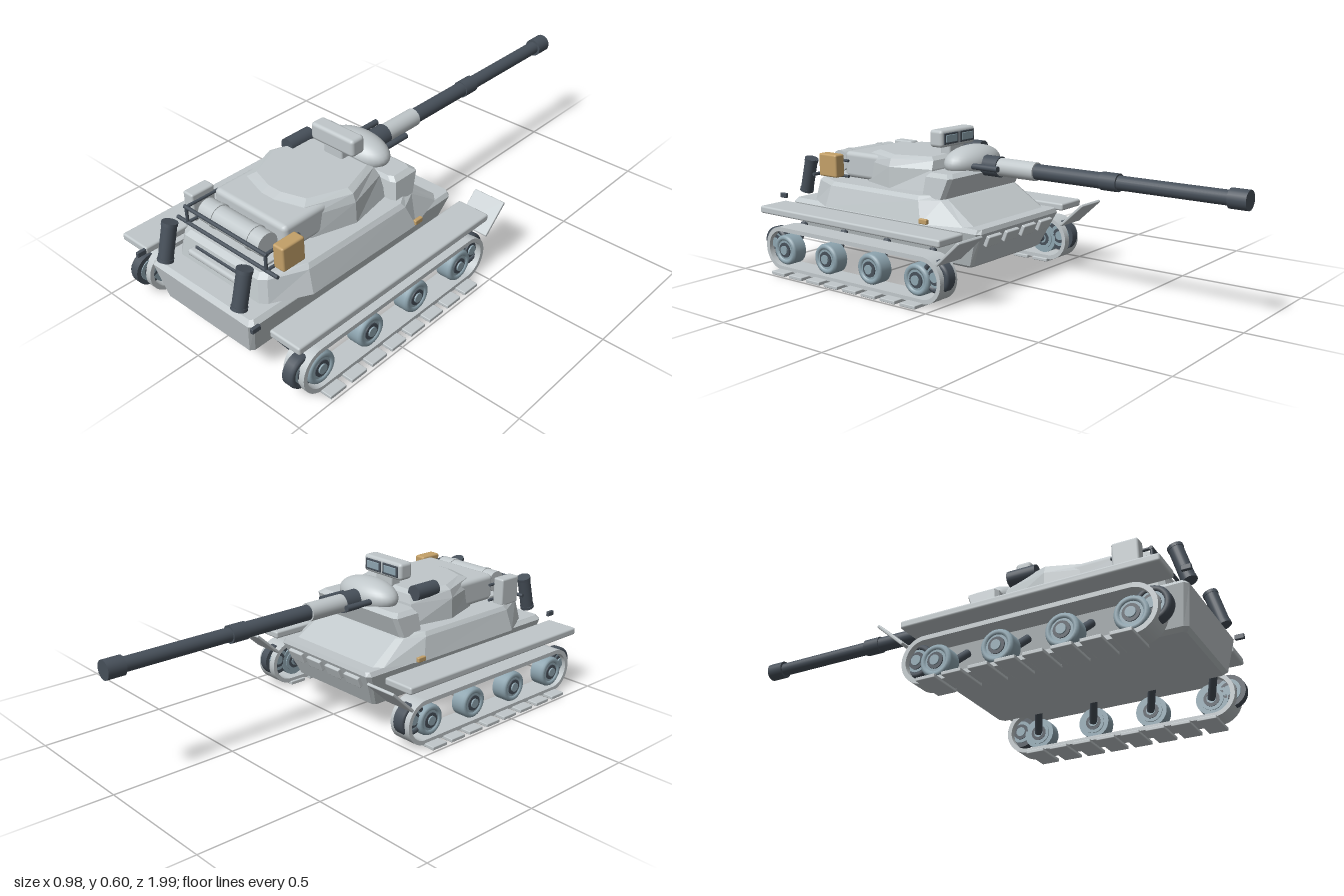
import * as THREE from 'three';
import { RoundedBoxGeometry } from 'three/addons/geometries/RoundedBoxGeometry.js';

const mat = (name, color) => Object.assign(new THREE.MeshStandardMaterial({ color }), { name });

// Stacked symmetric sections: [y, [[x, z], ...]] with the +x side listed from +z to -z.
function loft(sections) {
  const rings = sections.map(([y, half]) => [
    ...half.map(([x, z]) => [x, y, z]),
    ...half.slice().reverse().map(([x, z]) => [-x, y, z]),
  ]);
  const pos = [];
  const tri = (a, b, c) => pos.push(...a, ...b, ...c);
  const n = rings[0].length;
  for (let k = 0; k + 1 < rings.length; k++) {
    for (let i = 0; i < n; i++) {
      const j = (i + 1) % n;
      tri(rings[k][i], rings[k][j], rings[k + 1][j]);
      tri(rings[k][i], rings[k + 1][j], rings[k + 1][i]);
    }
  }
  const bottom = rings[0], top = rings[rings.length - 1];
  for (let i = 1; i + 1 < n; i++) {
    tri(top[0], top[i], top[i + 1]);
    tri(bottom[0], bottom[i + 1], bottom[i]);
  }
  const g = new THREE.BufferGeometry();
  g.setAttribute('position', new THREE.Float32BufferAttribute(pos, 3));
  g.computeVertexNormals();
  return g;
}

export function createModel() {
  const model = new THREE.Group();
  model.name = 'tank';
  const hull = mat('pale grey', 0xc0c7ca);
  const dark = mat('gunmetal', 0x47505a);
  const teal = mat('blue grey', 0x8ea5b0);
  const tan = mat('tan', 0xc3a068);

  const add = (name, geo, m, x = 0, y = 0, z = 0, parent = model) => {
    const mesh = new THREE.Mesh(geo, m);
    mesh.name = name;
    mesh.position.set(x, y, z);
    parent.add(mesh);
    return mesh;
  };
  const box = (name, m, w, h, d, x, y, z, r = 0.008, parent = model) =>
    add(name, new RoundedBoxGeometry(w, h, d, 2, Math.min(r, w / 2.1, h / 2.1, d / 2.1)), m, x, y, z, parent);
  // Cylinder between two points
  const rod = (name, m, a, b, r, parent = model, sides = 20) => {
    const p = new THREE.Vector3(...a), q = new THREE.Vector3(...b);
    const d = q.clone().sub(p);
    const mesh = add(name, new THREE.CylinderGeometry(r, r, d.length(), sides), m, 0, 0, 0, parent);
    mesh.position.copy(p.add(q).multiplyScalar(0.5));
    mesh.quaternion.setFromUnitVectors(new THREE.Vector3(0, 1, 0), d.normalize());
    return mesh;
  };

  // Hull
  add('lowerHull', loft([
    [0.1, [[0.19, 0.925], [0.205, 0.915], [0.205, 0.04], [0.19, 0.03]]],
    [0.112, [[0.21, 0.94], [0.222, 0.925], [0.222, 0.02], [0.21, 0.01]]],
    [0.25, [[0.245, 0.965], [0.26, 0.95], [0.26, -0.04], [0.245, -0.055]]],
    [0.267, [[0.235, 0.95], [0.245, 0.94], [0.25, -0.04], [0.235, -0.05]]],
  ]), hull);
  add('upperHull', loft([
    [0.265, [[0.2, 0.875], [0.225, 0.855], [0.298, 0.72], [0.3, 0.2], [0.25, 0.03], [0.22, 0.0]]],
    [0.35, [[0.185, 0.86], [0.21, 0.84], [0.272, 0.71], [0.275, 0.23], [0.235, 0.15], [0.21, 0.13]]],
    [0.366, [[0.175, 0.84], [0.2, 0.82], [0.26, 0.7], [0.262, 0.24], [0.22, 0.175], [0.2, 0.16]]],
  ]), hull);
  for (let i = 0; i < 4; i++) {
    box('noseLink', hull, 0.08, 0.045, 0.02, -0.165 + i * 0.11, 0.215, -0.045, 0.004).rotation.x = -0.4;
  }

  // Turret
  add('turret', loft([
    [0.364, [[0.04, 0.63], [0.17, 0.6], [0.225, 0.43], [0.19, 0.24]]],
    [0.45, [[0.04, 0.645], [0.16, 0.61], [0.222, 0.43], [0.17, 0.25]]],
    [0.482, [[0.03, 0.635], [0.145, 0.6], [0.21, 0.43], [0.15, 0.26]]],
    [0.495, [[0.03, 0.6], [0.125, 0.57], [0.185, 0.43], [0.135, 0.28]]],
  ]), hull);
  box('turretBustle', hull, 0.36, 0.11, 0.42, 0, 0.425, 0.515, 0.02);
  add('turretCheeks', loft([
    [0.355, [[0.22, 0.25], [0.24, 0.24], [0.24, 0.15], [0.22, 0.14]]],
    [0.435, [[0.21, 0.24], [0.23, 0.23], [0.23, 0.12], [0.21, 0.11]]],
    [0.45, [[0.19, 0.23], [0.21, 0.22], [0.21, 0.14], [0.19, 0.13]]],
  ]), hull);
  add('mantlet', new THREE.SphereGeometry(1, 32, 20), hull, 0, 0.47, 0.185).scale.set(0.147, 0.066, 0.08);

  // Gun
  const gun = (name, m, z0, z1, r) => rod(name, m, [0, 0.46, z0], [0, 0.46, z1], r, model, 24);
  gun('gunCollar', dark, 0.13, 0.04, 0.041);
  gun('gunSleeve', hull, 0.05, -0.13, 0.036);
  gun('barrel', dark, -0.12, -0.95, 0.027);
  gun('boreSleeve', dark, -0.425, -0.495, 0.034);
  gun('barrelThickening', dark, -0.13, -0.44, 0.03);
  gun('muzzle', dark, -0.93, -1, 0.036);
  for (const s of [-1, 1]) rod('gunGuide', dark, [s * 0.075, 0.465, 0.15], [s * 0.075, 0.465, 0], 0.012);

  // Roof sight and launcher
  box('sightNeck', hull, 0.09, 0.05, 0.05, 0, 0.51, 0.29);
  box('sightHousing', hull, 0.21, 0.07, 0.065, 0, 0.56, 0.288, 0.014);
  for (const s of [-1, 1]) {
    box('sightFrame', dark, 0.085, 0.045, 0.006, s * 0.048, 0.56, 0.254, 0.002);
    box('sightLens', teal, 0.068, 0.03, 0.006, s * 0.048, 0.56, 0.252, 0.002);
  }
  rod('roofCanister', dark, [-0.17, 0.492, 0.265], [-0.17, 0.492, 0.38], 0.031);

  // Rear stowage
  rod('stowageRoll', hull, [-0.152, 0.43, 0.778], [0.152, 0.43, 0.778], 0.044);
  for (const s of [-1, 1]) {
    rod('rollStrap', hull, [s * 0.09 - 0.008, 0.43, 0.778], [s * 0.09 + 0.008, 0.43, 0.778], 0.047);
    box('stowageBin', s > 0 ? tan : hull, 0.05, s > 0 ? 0.095 : 0.115, 0.1, s * 0.226, s > 0 ? 0.425 : 0.417, 0.752);
    for (const y of [0.445, 0.38]) rod('rackSide', dark, [s * 0.2, y, 0.68], [s * 0.2, y, 0.835], 0.006);
    rod('rackPost', dark, [s * 0.2, 0.375, 0.832], [s * 0.2, 0.45, 0.832], 0.006);
  }
  rod('rackUpperRail', dark, [-0.208, 0.445, 0.832], [0.208, 0.445, 0.832], 0.007);
  rod('rackLowerRail', dark, [-0.255, 0.38, 0.832], [0.255, 0.38, 0.832], 0.007);
  box('rackFloor', hull, 0.36, 0.012, 0.13, 0, 0.38, 0.77, 0.004);
  box('rearGrille', dark, 0.25, 0.012, 0.02, 0, 0.331, 0.858, 0.003);
  box('rearLog', hull, 0.29, 0.026, 0.035, 0, 0.313, 0.873, 0.012);

  // One running gear side, built for +x or -x
  const wheel = (parent, x, y, z, s, tyre, r, w) => {
    const disc = (name, m, rad, x0, x1) => rod(name, m, [s * (x + x0), y, z], [s * (x + x1), y, z], rad, parent, 28);
    disc('tyre', tyre, r, -w / 2, w / 2);
    const rim = add('tyreShoulder', new THREE.TorusGeometry(r - 0.012, 0.012, 8, 28), tyre, s * (x + w / 2), y, z, parent);
    rim.rotation.y = Math.PI / 2;
    disc('wheelDisc', teal, r * 0.72, -w / 2 - 0.004, w / 2 + 0.006);
    disc('wheelRing', dark, r * 0.5, -w / 2 - 0.006, w / 2 + 0.01);
    disc('wheelHub', teal, r * 0.3, -w / 2 - 0.008, w / 2 + 0.016);
  };

  const stadium = (P, r) => {
    const y = 0.1, a = -0.83, b = -0.065;
    const p = new P();
    p.moveTo(a, y - r);
    p.lineTo(b, y - r);
    p.absarc(b, y, r, -Math.PI / 2, Math.PI / 2, false);
    p.lineTo(a, y + r);
    p.absarc(a, y, r, Math.PI / 2, Math.PI * 1.5, false);
    return p;
  };
  const beltShape = stadium(THREE.Shape, 0.09);
  beltShape.holes.push(stadium(THREE.Path, 0.073));
  const beltGeo = new THREE.ExtrudeGeometry(beltShape, { depth: 0.095, bevelEnabled: false, curveSegments: 20 });
  beltGeo.translate(0, 0, -0.0475).rotateY(Math.PI / 2);

  for (const s of [-1, 1]) {
    const side = new THREE.Group();
    side.name = s > 0 ? 'leftRunningGear' : 'rightRunningGear';
    model.add(side);
    add('trackBelt', beltGeo, hull, s * 0.398, 0, 0, side);
    for (let i = 0; i < 8; i++) {
      box('trackPad', hull, 0.15, 0.014, 0.075, s * 0.415, 0.007, 0.1 + i * 0.101, 0.003, side);
    }
    for (let i = 0; i < 4; i++) {
      const z = 0.105 + i * 0.24;
      wheel(side, 0.4, 0.092, z, s, teal, 0.062, 0.05);
      rod('suspensionArm', dark, [s * 0.283, 0.17, z + 0.045], [s * 0.37, 0.09, z], 0.015, side);
    }
    for (const z of [0.89, 0.022]) wheel(side, 0.397, 0.114, z, s, dark, 0.064, 0.032);

    // Fender and raised flap at the gun end
    box('fender', hull, 0.137, 0.03, 0.97, s * 0.387, 0.252, 0.455, 0.008, side);
    box('fenderFlap', hull, 0.137, 0.012, 0.145, s * 0.392, 0.222, -0.07, 0.004, side).rotation.x = 0.74;

    // Side lamp, tail marker, rear smoke drum
    box('sideLamp', tan, 0.016, 0.02, 0.04, s * 0.297, 0.277, 0.185, 0.004);
    box('tailMarker', dark, 0.014, 0.02, 0.036, s * 0.295, 0.28, 0.975, 0.003);
    rod('smokeDrum', dark, [s * 0.19, 0.43, 0.912], [s * 0.19, 0.288, 0.95], 0.027);
    for (const [y, z] of [[0.425, 0.913], [0.293, 0.949]]) {
      rod('drumRim', dark, [s * 0.19, y + 0.006, z - 0.002], [s * 0.19, y - 0.006, z + 0.002], 0.029);
    }
  }
  return model;
}
